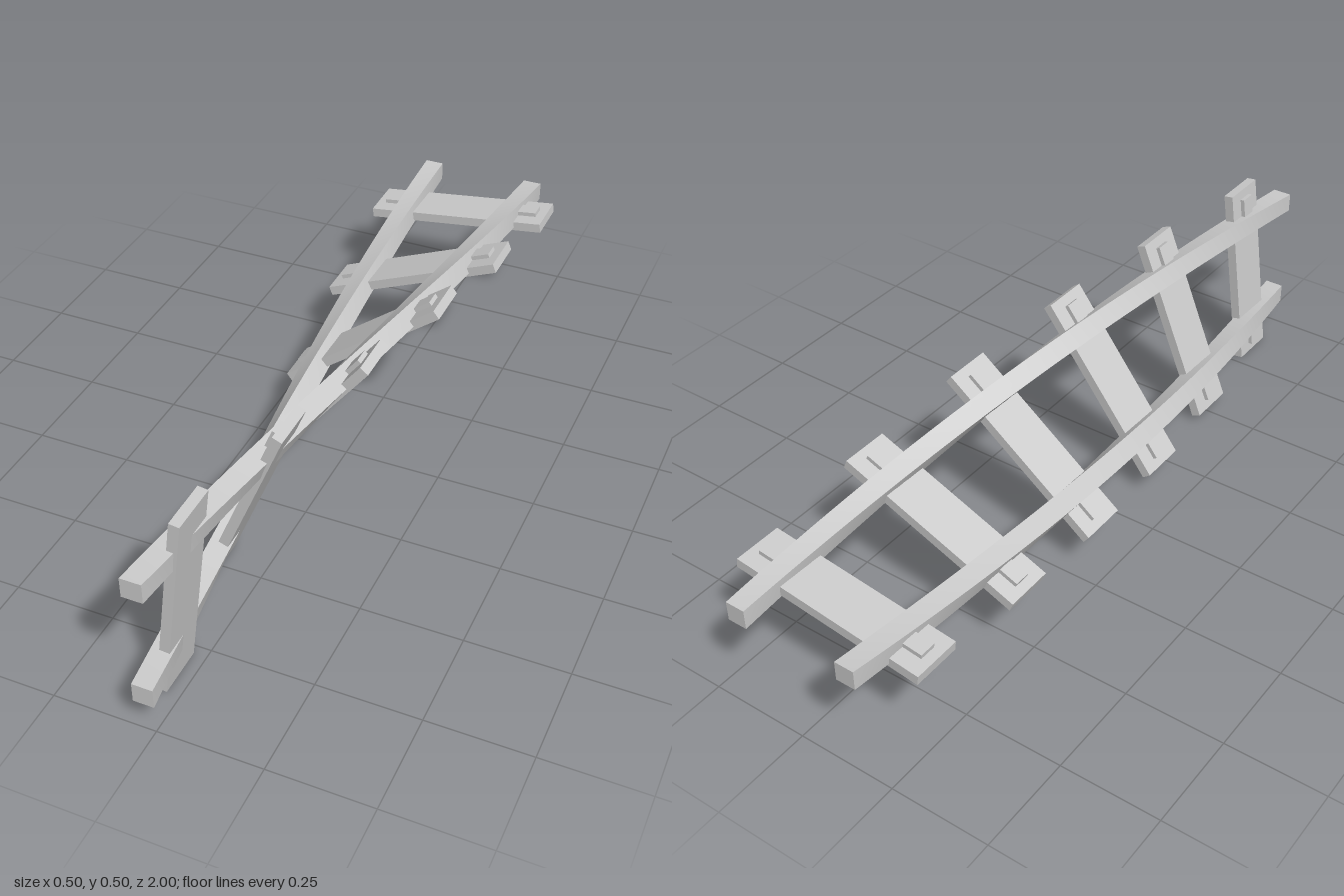
import * as THREE from 'three';

const AXIS_Y = 0.248; // height of the axis the track twists around
const twist = (z) => ((z + 1) / 2) * (Math.PI / 2); // flat at the back, upright at the front

export function createModel() {
  const group = new THREE.Group();
  group.name = 'twistedTrack';
  const material = new THREE.MeshStandardMaterial({ color: 0xcccccc });

  const add = (parent, name, geometry) => {
    const mesh = new THREE.Mesh(geometry, material);
    mesh.name = name;
    parent.add(mesh);
    return mesh;
  };

  // Rails: square bars twisted a quarter turn along their length
  for (const side of [-1, 1]) {
    const geometry = new THREE.BoxGeometry(0.05, 0.05, 2, 1, 1, 48);
    geometry.translate(side * 0.15, 0.025, 0);
    const pos = geometry.attributes.position;
    const axis = new THREE.Vector3(0, 0, 1);
    const v = new THREE.Vector3();
    for (let i = 0; i < pos.count; i++) {
      v.fromBufferAttribute(pos, i).applyAxisAngle(axis, twist(pos.getZ(i)));
      pos.setXYZ(i, v.x, v.y, v.z);
    }
    geometry.computeVertexNormals();
    add(group, side > 0 ? 'leftRail' : 'rightRail', geometry).position.y = AXIS_Y;
  }

  // Sleepers: straight planks, each turned to the twist at its place
  for (let i = 0; i < 6; i++) {
    const z = -1 + (i + 0.5) / 3;
    const sleeper = new THREE.Group();
    sleeper.name = 'sleeper' + (i + 1);
    sleeper.position.set(0, AXIS_Y, z);
    sleeper.rotation.z = twist(z);
    add(sleeper, 'plank', new THREE.BoxGeometry(0.5, 0.025, 0.124)).position.y = 0.0125;
    // Fastening pads just outside each rail
    for (const side of [-1, 1]) {
      add(sleeper, 'railPad', new THREE.BoxGeometry(0.05, 0.012, 0.042))
        .position.set(side * 0.2, 0.03, 0);
    }
    group.add(sleeper);
  }
  return group;
}
